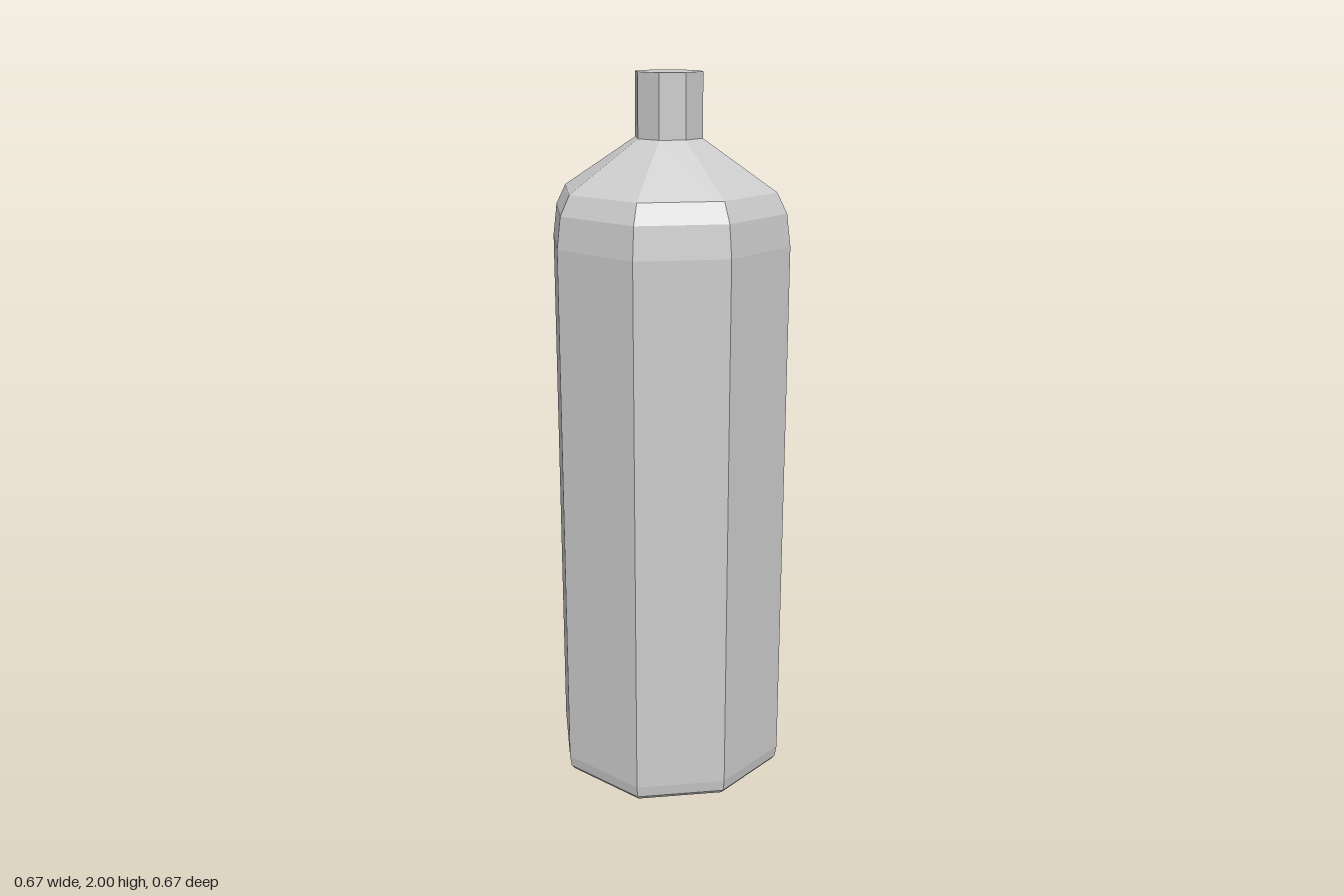
import * as THREE from 'three';

const material = new THREE.MeshStandardMaterial({ color: 0xcccccc, flatShading: true });

// Eight-sided lathe with corners on the axes; diagonal corners sit slightly deeper in z.
function octagonalPart(name, profile) {
  const points = profile.map(([r, y]) => new THREE.Vector2(r, y));
  const geometry = new THREE.LatheGeometry(points, 8);
  const pos = geometry.attributes.position;
  for (let i = 0; i < pos.count; i++) {
    const x = pos.getX(i), z = pos.getZ(i);
    if (Math.abs(x) > 0.01 && Math.abs(z) > 0.01) pos.setZ(i, z * 1.038);
  }
  geometry.computeVertexNormals();
  const mesh = new THREE.Mesh(geometry, material);
  mesh.name = name;
  return mesh;
}

export function createModel() {
  const bottle = new THREE.Group();
  bottle.name = 'bottle';

  // Body: flat base with a small bevel, straight wall, rounded shoulder, cone
  bottle.add(octagonalPart('body', [
    [0, 0], [0.318, 0], [0.328, 0.012], [0.333, 0.045],
    [0.333, 1.553], [0.322, 1.64], [0.295, 1.694], [0.093, 1.829],
  ]));

  // Neck: straight stub with a closed top
  bottle.add(octagonalPart('neck', [[0.093, 1.829], [0.093, 2], [0, 2]]));

  return bottle;
}
